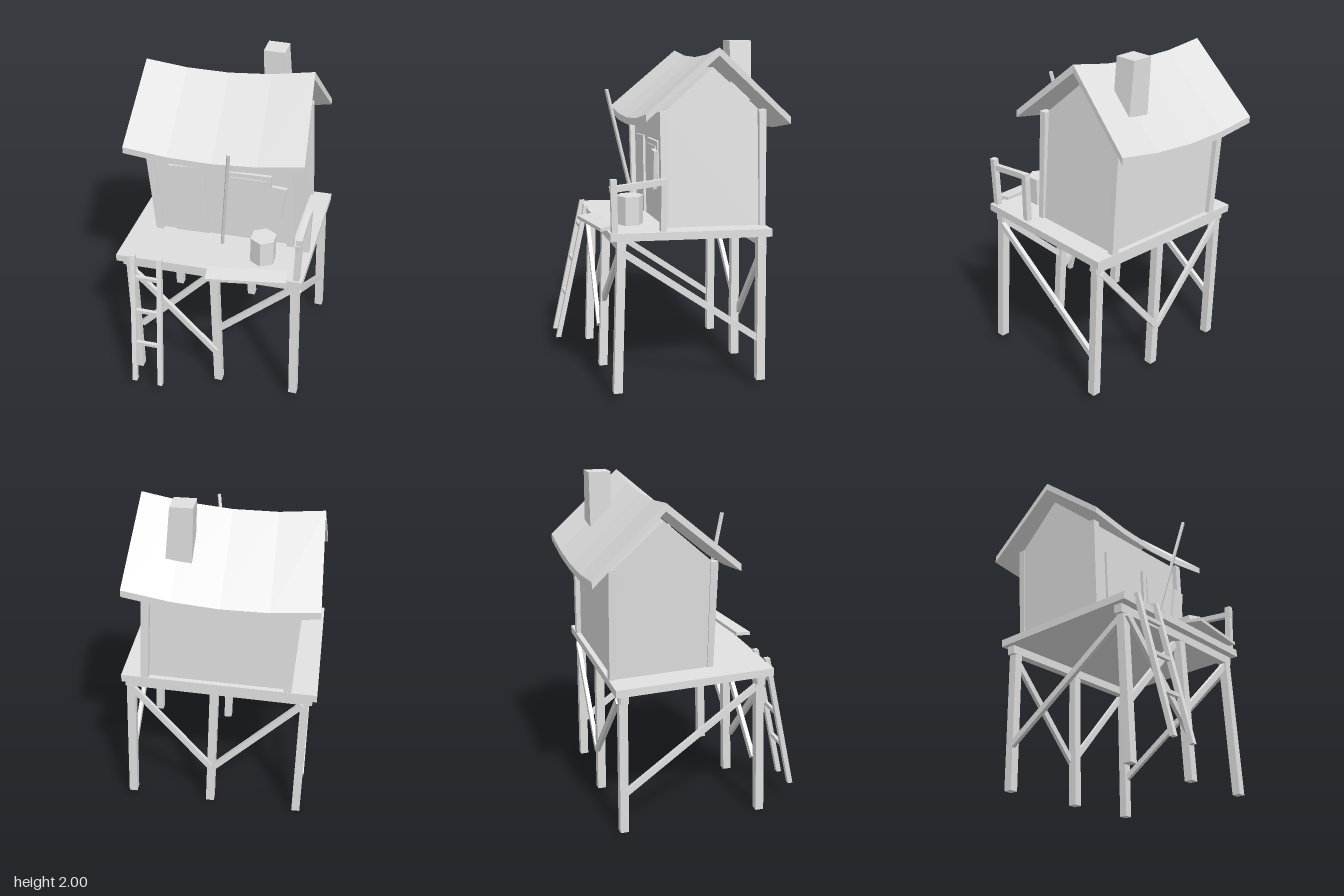
import * as THREE from 'three';

const V = (p) => new THREE.Vector3(...p);
const lerp = THREE.MathUtils.lerp;

export function createModel() {
  const model = new THREE.Group();
  const grey = new THREE.MeshStandardMaterial({ color: 0xe0e0e0 });
  grey.name = 'weathered grey';

  function add(name, geo) {
    geo.computeVertexNormals();
    const mesh = new THREE.Mesh(geo, grey);
    mesh.name = name;
    model.add(mesh);
    return mesh;
  }

  // Six-sided block from corners: bottom then top, each front left, front right, back right, back left (in x order)
  function block(name, corners) {
    const geo = new THREE.BoxGeometry(1, 1, 1);
    const p = geo.attributes.position;
    for (let i = 0; i < p.count; i++) {
      const side = p.getX(i) > 0 ? 1 : 0;
      const k = (p.getZ(i) > 0 ? side : 3 - side) + (p.getY(i) > 0 ? 4 : 0);
      p.setXYZ(i, ...corners[k]);
    }
    return add(name, geo);
  }

  // Leaning upright with level ends
  function post(name, a, b, w, d = w, w2 = w, d2 = d) {
    const ring = ([x, y, z], u, v) => [
      [x - u / 2, y, z + v / 2], [x + u / 2, y, z + v / 2],
      [x + u / 2, y, z - v / 2], [x - u / 2, y, z - v / 2]];
    return block(name, [...ring(a, w, d), ...ring(b, w2, d2)]);
  }

  // Straight timber between two points
  function beam(name, a, b, w, h = w) {
    const mesh = add(name, new THREE.BoxGeometry(w, h, V(a).distanceTo(V(b))));
    mesh.position.copy(V(a).add(V(b)).multiplyScalar(0.5));
    mesh.lookAt(V(b));
  }

  // Cross-section in (z, y) swept along x; the rule places each vertex
  function sweep(name, section, steps, rule) {
    const shape = new THREE.Shape(section.map(([z, y]) => new THREE.Vector2(-z, y)));
    const geo = new THREE.ExtrudeGeometry(shape, { depth: 1, steps, bevelEnabled: false });
    geo.rotateY(Math.PI / 2);
    const p = geo.attributes.position;
    for (let i = 0; i < p.count; i++) {
      const [x, y] = rule(p.getX(i), p.getY(i), p.getZ(i));
      p.setXY(i, x, y);
    }
    add(name, geo);
  }

  // Tilted platform
  const deck = [[-0.57, 0.935, 0.415], [0.555, 0.977, 0.415], [0.555, 0.953, -0.52], [-0.57, 0.911, -0.52]];
  block('platform', [...deck.map(([x, y, z]) => [x, y - 0.045, z]), ...deck]);

  // House walls with gables, leaning to one side
  const lean = (y) => -0.075 * (y - 0.95);
  sweep('houseWalls', [[0.07, 0.95], [0.07, 1.61], [-0.215, 1.855], [-0.49, 1.61], [-0.49, 0.94]], 1,
    (t, y) => [lerp(-0.415, 0.425, t) + lean(y), y + (t - 1) * 0.05]);
  for (const z of [0.08, -0.5]) {
    post('cornerPost', [-0.4, 0.91, z], [-0.45, 1.56, z], 0.045, 0.035, 0.045, 0.045);
    post('cornerPost', [0.42, 0.94, z], [0.38, 1.615, z], 0.045, 0.035, 0.045, 0.045);
  }

  // Sagging roof
  sweep('roof', [[0.2, 1.575], [0.2, 1.615], [-0.225, 1.967], [-0.635, 1.58], [-0.635, 1.54], [-0.225, 1.922]], 4,
    (t, y, z) => {
      const out = Math.abs(z + 0.225) / 0.42;
      return [lerp(-0.55 - 0.015 * out, 0.445 + 0.048 * out, t), y + 0.19 * t * t - 0.135 * t - 0.055];
    });
  post('chimney', [0.208, 1.66, -0.41], [0.183, 1.997, -0.41], 0.145, 0.12, 0.125, 0.13);

  // Flat panels on the front wall: corners anticlockwise from lower left
  function panel(name, pts, z, depth) {
    const shape = new THREE.Shape(pts.map(([x, y]) => new THREE.Vector2(x, y)));
    add(name, new THREE.ExtrudeGeometry(shape, { depth, bevelEnabled: false }).translate(0, 0, z));
  }
  panel('door', [[-0.3, 0.94], [-0.09, 0.95], [-0.115, 1.42], [-0.335, 1.405]], 0.06, 0.025);
  panel('windowFrame', [[0.03, 1.185], [0.29, 1.19], [0.285, 1.435], [0.015, 1.425]], 0.06, 0.03);
  panel('windowPane', [[0.06, 1.215], [0.26, 1.22], [0.255, 1.405], [0.047, 1.398]], 0.088, 0.008);
  panel('hangingShutter', [[0.27, 1.195], [0.36, 1.175], [0.388, 1.395], [0.3, 1.4]], 0.11, 0.022);

  // Legs, three in front and three behind, with long bearers above
  const legs = [[-0.502, -0.48, 0.003], [0.02, 0.055, 0.027], [0.507, 0.54, 0.05]];
  for (const [top, foot, y] of legs) {
    post('frontLeg', [foot, y, 0.382], [top, 0.88 + y * 0.9, 0.347], 0.05);
    post('backLeg', [foot, y - 0.002, -0.467], [top, 0.86 + y * 0.9, -0.467], 0.05);
  }
  beam('frontBearer', [-0.545, 0.86, 0.35], [0.54, 0.905, 0.35], 0.05, 0.05);
  beam('backBearer', [-0.545, 0.84, -0.465], [0.54, 0.885, -0.465], 0.05, 0.05);

  // Diagonal braces
  const braces = [
    [[-0.5, 0.83, 0.38], [0.04, 0.28, 0.4]],
    [[0.01, 0.86, 0.33], [-0.46, 0.34, 0.345]],
    [[0.03, 0.43, 0.37], [0.5, 0.87, 0.35]],
    [[-0.49, 0.82, -0.49], [0.04, 0.29, -0.49]],
    [[0.04, 0.29, -0.49], [0.5, 0.85, -0.49]],
    [[0.53, 0.86, 0.34], [0.535, 0.3, -0.45]],
    [[-0.51, 0.82, 0.34], [-0.505, 0.26, -0.45]],
  ];
  for (const [a, b] of braces) beam('brace', a, b, 0.025, 0.036);

  // Ladder
  for (const x of [0, 0.165]) {
    post('ladderRail', [-0.425 + x, 0.112, 0.615], [-0.46 + x, 0.962, 0.417], 0.03, 0.03);
  }
  for (const y of [0.82, 0.6, 0.38]) {
    const z = 0.417 + 0.233 * (0.962 - y), x = -0.425 - 0.041 * (y - 0.11);
    beam('ladderRung', [x, y - 0.003, z], [x + 0.165, y + 0.003, z], 0.022, 0.022);
  }

  // Broken railing
  post('railPost', [0.518, 0.96, 0.385], [0.525, 1.272, 0.39], 0.035);
  post('railPost', [0.518, 0.95, 0.11], [0.522, 1.262, 0.108], 0.035);
  beam('handrail', [0.518, 1.215, 0.41], [0.52, 1.248, 0.09], 0.03, 0.034);

  // Leaning pole, barrel and loose plank
  beam('pole', [0.015, 0.95, 0.155], [0.105, 1.722, 0.347], 0.017);
  const barrel = add('barrel', new THREE.CylinderGeometry(0.078, 0.078, 0.165, 6).toNonIndexed());
  barrel.position.set(0.289, 1.052, 0.252);
  const plank = [[0.012, 0.967, 0.515], [0.475, 0.993, 0.455], [0.46, 1.007, 0.362], [0, 0.978, 0.415]];
  block('loosePlank', [...plank.map(([x, y, z]) => [x, y - 0.02, z]), ...plank]);

  return model;
}
